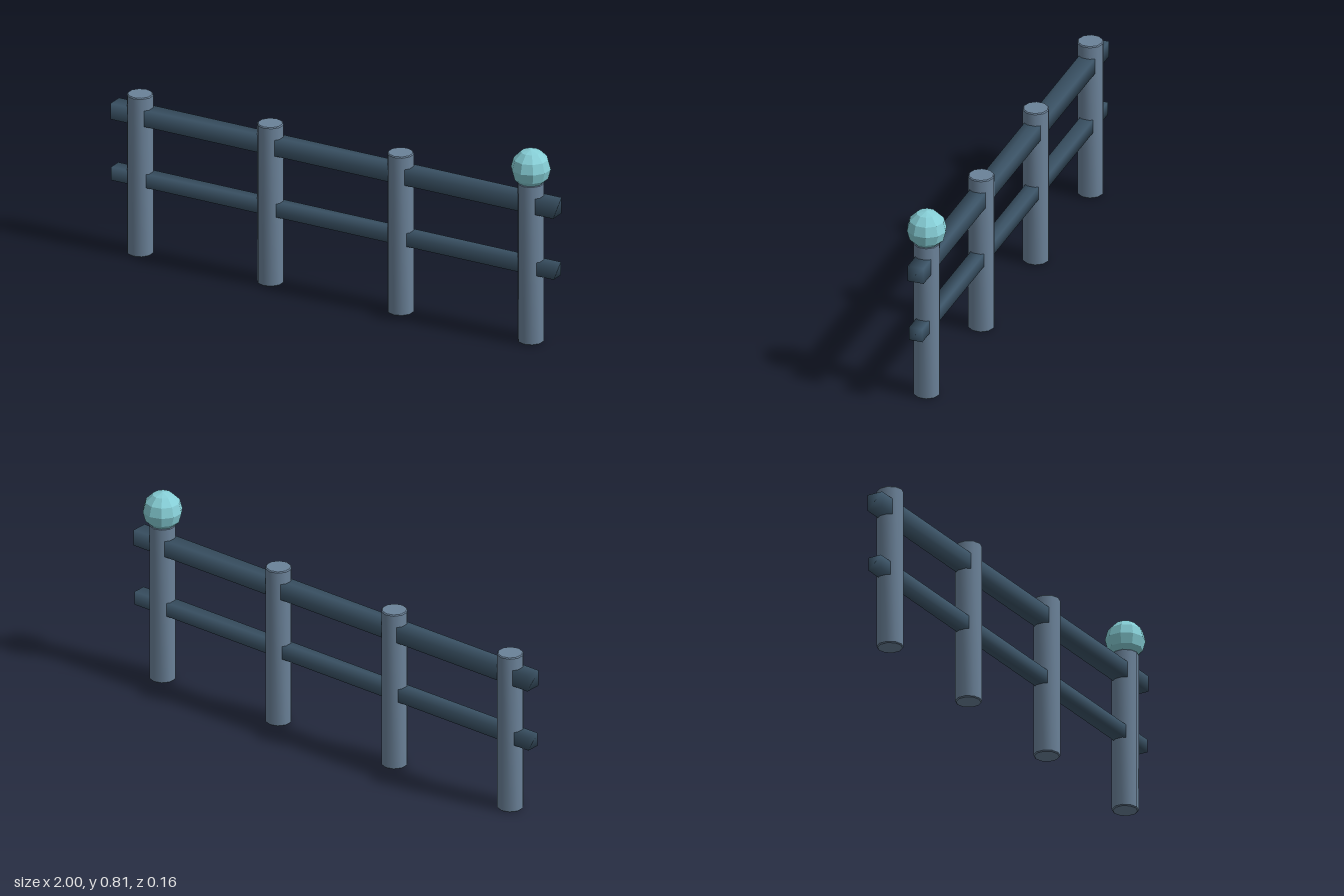
import * as THREE from 'three';
import { mergeVertices, toCreasedNormals } from 'three/addons/utils/BufferGeometryUtils.js';

const material = (name, color) => {
  const m = new THREE.MeshStandardMaterial({ color });
  m.name = name;
  return m;
};

// Box with normals blended across its edges
function softBox(w, h, d) {
  const box = new THREE.BoxGeometry(w, h, d);
  box.deleteAttribute('normal');
  box.deleteAttribute('uv');
  const geo = mergeVertices(box);
  geo.computeVertexNormals();
  return geo;
}

export function createModel() {
  const group = new THREE.Group();
  group.name = 'fence';
  const postPaint = material('slate blue', 0x6b8299);
  const railPaint = material('dark slate', 0x3b5366);
  const ballPaint = material('pale teal', 0x86ced6);

  const add = (name, geometry, paint, x, y) => {
    const mesh = new THREE.Mesh(geometry, paint);
    mesh.name = name;
    mesh.position.set(x, y, 0);
    group.add(mesh);
    return mesh;
  };

  // Ten-sided posts with slightly bevelled ends
  const radius = 0.053, height = 0.675, bevel = 0.004;
  const profile = [
    [0, 0], [radius - bevel, 0], [radius, bevel],
    [radius, height - bevel], [radius - bevel, height], [0, height],
  ].map(([r, y]) => new THREE.Vector2(r, y));
  const postGeo = toCreasedNormals(new THREE.LatheGeometry(profile, 10), 0.7);
  for (let i = 0; i < 4; i++) {
    add(`post${i + 1}`, postGeo, postPaint, -0.885 + i * 0.5885, 0);
  }

  // Rails running through all posts
  add('upperRail', softBox(2, 0.067, 0.067), railPaint, 0, 0.587);
  add('lowerRail', softBox(2, 0.056, 0.056), railPaint, 0, 0.321);

  // Faceted ball on the end post
  const ballGeo = new THREE.SphereGeometry(0.08, 10, 6).toNonIndexed();
  ballGeo.rotateY(Math.PI / 2);
  ballGeo.computeVertexNormals();
  add('ballFinial', ballGeo, ballPaint, 0.8805, 0.733);

  return group;
}
